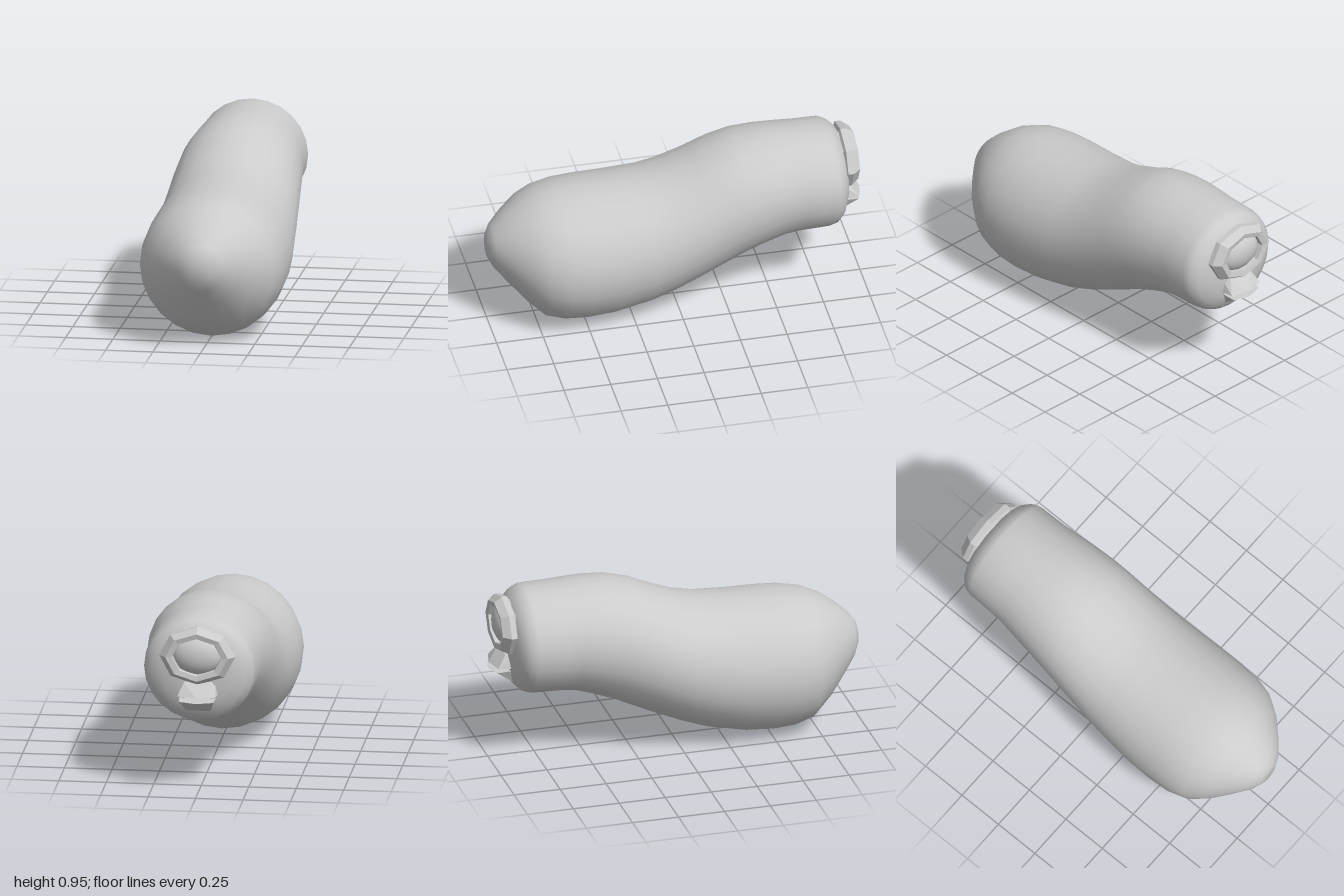
import * as THREE from 'three';
import { ConvexGeometry } from 'three/addons/geometries/ConvexGeometry.js';

const SIDES = 24;

// Skin over elliptical sections: [z, top y, bottom y, half width], front to back
function loft(sections) {
  const pos = [], index = [];
  const n = sections.length;
  for (const [z, top, bottom, w] of sections) {
    for (let j = 0; j < SIDES; j++) {
      const a = (j / SIDES) * Math.PI * 2;
      pos.push(w * Math.cos(a), (top + bottom) / 2 + ((top - bottom) / 2) * Math.sin(a), z);
    }
  }
  const front = n * SIDES, back = front + 1, last = (n - 1) * SIDES;
  for (const s of [sections[0], sections[n - 1]]) pos.push(0, (s[1] + s[2]) / 2, s[0]);
  for (let j = 0; j < SIDES; j++) {
    const k = (j + 1) % SIDES;
    for (let i = 0; i < n - 1; i++) {
      const a = i * SIDES + j, b = i * SIDES + k;
      index.push(a, a + SIDES, b, b, a + SIDES, b + SIDES);
    }
    index.push(front, j, k, back, last + k, last + j);
  }
  const g = new THREE.BufferGeometry();
  g.setAttribute('position', new THREE.Float32BufferAttribute(pos, 3));
  g.setIndex(index);
  g.computeVertexNormals();
  return g;
}

export function createModel() {
  const group = new THREE.Group();
  const smooth = new THREE.MeshStandardMaterial({ color: 0xcccccc });
  const flat = new THREE.MeshStandardMaterial({ color: 0xcccccc, flatShading: true, side: THREE.DoubleSide });
  const add = (name, geometry, material) => {
    const mesh = new THREE.Mesh(geometry, material);
    mesh.name = name;
    group.add(mesh);
    return mesh;
  };

  // Long bent body
  add('body', loft([
    [1.0, 0.52, 0.39, 0.06],
    [0.97, 0.57, 0.33, 0.12],
    [0.9, 0.635, 0.24, 0.2],
    [0.81, 0.7, 0.13, 0.29],
    [0.72, 0.74, 0.04, 0.35],
    [0.62, 0.76, 0.01, 0.377],
    [0.5, 0.767, 0.003, 0.385],
    [0.35, 0.77, 0.015, 0.383],
    [0.16, 0.782, 0.057, 0.37],
    [0.03, 0.812, 0.105, 0.36],
    [-0.1, 0.862, 0.162, 0.35],
    [-0.22, 0.917, 0.218, 0.341],
    [-0.33, 0.948, 0.272, 0.332],
    [-0.45, 0.957, 0.32, 0.32],
    [-0.56, 0.956, 0.355, 0.306],
    [-0.65, 0.952, 0.365, 0.298],
    [-0.8, 0.95, 0.37, 0.295],
    [-0.84, 0.93, 0.385, 0.285],
    [-0.875, 0.9, 0.42, 0.25],
    [-0.9, 0.85, 0.48, 0.19],
    [-0.912, 0.78, 0.56, 0.11],
  ]), smooth);

  // Octagonal rim around the eye; profile points are [radius, depth]
  const rim = new THREE.LatheGeometry(
    [[0.165, -0.08], [0.175, 0.02], [0.2, 0.03], [0.2, 0.06], [0.165, 0.1], [0.13, 0.095], [0.125, 0.02]]
      .map(([r, d]) => new THREE.Vector2(r, d)), 8);
  rim.rotateX(-Math.PI / 2);
  const rimMesh = add('eyeRim', rim, flat);
  rimMesh.scale.y = 0.78;
  rimMesh.position.set(0, 0.755, -0.865);

  // Domed eye inside the rim
  const eye = add('eye', new THREE.SphereGeometry(1, 20, 14), smooth);
  eye.scale.set(0.135, 0.105, 0.07);
  eye.position.set(0, 0.755, -0.902);

  // Two pointed beak halves below the eye
  const beak = (name, points) =>
    add(name, new ConvexGeometry(points.flatMap(([x, y, z]) =>
      (x ? [-1, 1] : [1]).map((s) => new THREE.Vector3(s * x, y, z)))), flat);
  beak('upperBeak', [
    [0.09, 0.62, -0.87], [0.07, 0.61, -0.925], [0.11, 0.54, -0.87],
    [0.1, 0.545, -0.97], [0, 0.545, -0.995],
  ]);
  beak('lowerBeak', [
    [0.1, 0.525, -0.87], [0.09, 0.517, -0.975], [0, 0.515, -1.0], [0.06, 0.435, -0.865],
  ]);
  return group;
}
